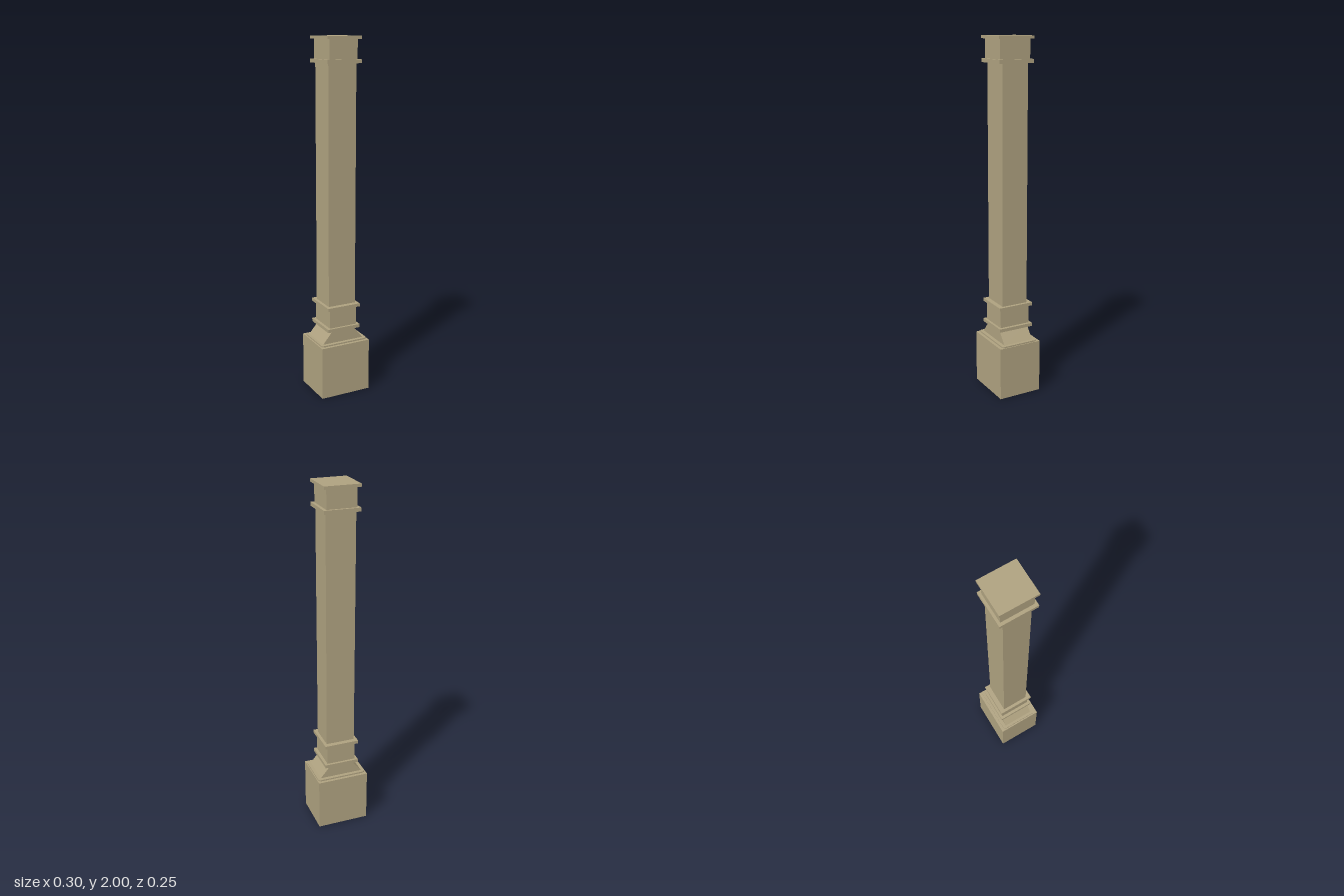
import * as THREE from 'three';

export function createModel() {
  const group = new THREE.Group();
  const stone = new THREE.MeshStandardMaterial({ color: 0xaea17f });
  stone.name = 'sandstone';

  const add = (name, geometry, x = 0, y = 0, z = 0) => {
    const mesh = new THREE.Mesh(geometry, stone);
    mesh.name = name;
    mesh.position.set(x, y, z);
    group.add(mesh);
  };
  // Box between two heights, given its half width and half depth
  const block = (name, hx, hz, y0, y1) =>
    add(name, new THREE.BoxGeometry(hx * 2, y1 - y0, hz * 2), 0, (y0 + y1) / 2, 0);

  // Plinth
  block('plinth', 0.149, 0.127, 0, 0.303);

  // Thin plate with clipped corners on the plinth
  const hx = 0.1425, hz = 0.11, c = 0.011;
  const outline = new THREE.Shape([
    [-hx + c, -hz], [hx - c, -hz], [hx, -hz + c], [hx, hz - c],
    [hx - c, hz], [-hx + c, hz], [-hx, hz - c], [-hx, -hz + c],
  ].map(([x, y]) => new THREE.Vector2(x, y)));
  const plate = new THREE.ExtrudeGeometry(outline, { depth: 0.009, bevelEnabled: false });
  plate.rotateX(-Math.PI / 2);
  add('basePlate', plate, 0.0015, 0.302, 0);

  // Flared foot, sloping on the left and right only
  const profile = new THREE.Shape([
    [-0.126, 0.31], [0.126, 0.31], [0.066, 0.382], [-0.066, 0.382],
  ].map(([x, y]) => new THREE.Vector2(x, y)));
  const foot = new THREE.ExtrudeGeometry(profile, { depth: 0.18, bevelEnabled: false });
  add('flaredFoot', foot, 0, 0, -0.09);

  // Shaft with thicker blocks at both ends
  block('lowerBlock', 0.083, 0.09, 0.4, 0.508);
  block('shaft', 0.083, 0.077, 0.525, 1.861);
  block('upperBlock', 0.083, 0.09, 1.88, 1.984);

  // Projecting bands
  [[0.381, 0.4], [0.507, 0.525], [1.86, 1.88], [1.984, 2]].forEach(([y0, y1], i) =>
    block(i === 3 ? 'cap' : `band${i + 1}`, 0.1, 0.104, y0, y1));

  return group;
}
